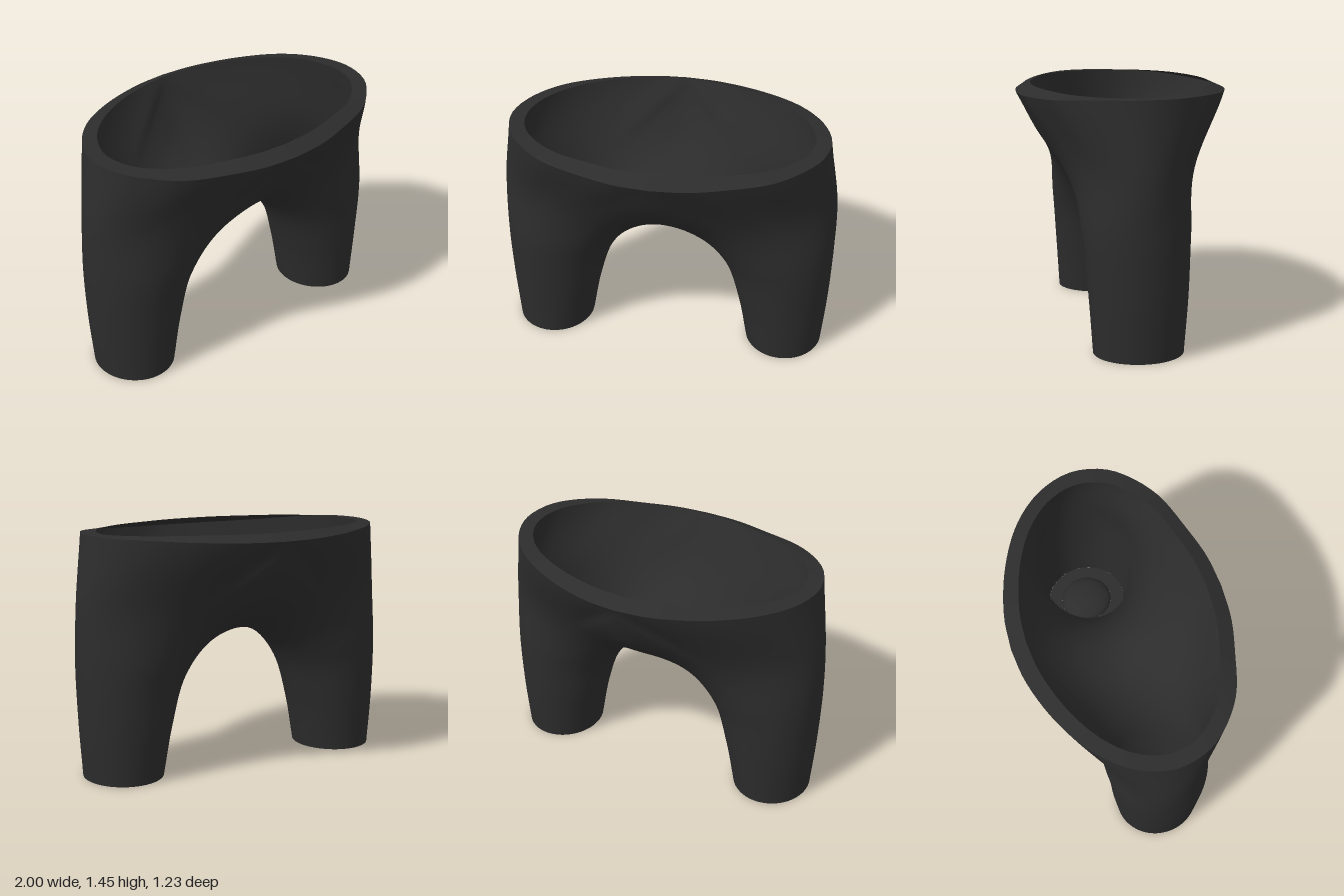
import * as THREE from 'three';
import { mergeGeometries, mergeVertices } from 'three/addons/utils/BufferGeometryUtils.js';

const V = (x, y, z) => new THREE.Vector3(x, y, z);
const ARC = 1.65; // half of the leg loop that flows up to the rim
const RIM_N = 44, SEAM_N = 40, STEPS = 9;

// Half of the upper rim, back centre to front centre
const rimCurve = new THREE.CatmullRomCurve3([
  V(0, 1.41, -0.618), V(0.2, 1.412, -0.598), V(0.48, 1.42, -0.507), V(0.72, 1.43, -0.36),
  V(0.87, 1.432, -0.18), V(0.93, 1.433, 0.02), V(0.89, 1.432, 0.21), V(0.8, 1.425, 0.335),
  V(0.64, 1.41, 0.46), V(0.4, 1.397, 0.545), V(0.2, 1.392, 0.597), V(0, 1.39, 0.613),
]);
// Section through the crotch, front rim to back rim
const seamCurve = new THREE.CatmullRomCurve3([
  V(0, 1.39, 0.613), V(0, 1.1, 0.45), V(0, 0.91, 0.25), V(0, 0.825, 0.01),
  V(0, 0.89, -0.24), V(0, 1.06, -0.44), V(0, 1.22, -0.54), V(0, 1.41, -0.618),
]);

const legLoop = (a, k = 1) => V(0.733 + 0.235 * k * Math.cos(a), 0.004, 0.018 + 0.255 * k * Math.sin(a));

// Points of one column on the foot, shin, thigh and hip loops
function legPoints(a) {
  const c = Math.cos(a), s = Math.sin(a);
  return [
    legLoop(a),
    V(0.715 + 0.275 * c, 0.32 + 0.02 * c, 0.015 + 0.278 * s),
    V(0.6735 + 0.325 * c, 0.65 + 0.07 * c, 0.018 + 0.3 * s),
    V(0.48 + 0.395 * c + 0.115 * c * c, 0.98 + 0.145 * c - 0.075 * c * c, 0.015 + 0.355 * s),
  ];
}

// Smooth column from the foot to its end on the rim or the centre seam
function column(a, end, endDir) {
  const pts = [...legPoints(a), end], last = pts.length - 1;
  const dirs = pts.map((p, i) => i === last ? endDir
    : i === 0 ? pts[1].clone().sub(p)
    : pts[i + 1].clone().sub(pts[i - 1]).multiplyScalar(0.5));
  const out = [pts[0]];
  for (let i = 0; i < last; i++) {
    for (let j = 1; j <= STEPS; j++) {
      const t = j / STEPS, t2 = t * t, t3 = t2 * t;
      out.push(V(0, 0, 0)
        .addScaledVector(pts[i], 2 * t3 - 3 * t2 + 1).addScaledVector(dirs[i], t3 - 2 * t2 + t)
        .addScaledVector(pts[i + 1], 3 * t2 - 2 * t3).addScaledVector(dirs[i + 1], t3 - t2));
    }
  }
  return out;
}

// Grid of columns to a geometry, front faces on the (row x column) side
function gridGeometry(columns, flip = false) {
  const rows = columns[0].length, pos = [], index = [];
  columns.forEach(c => c.forEach(p => pos.push(p.x, p.y, p.z)));
  for (let i = 0; i < columns.length - 1; i++) {
    for (let j = 0; j < rows - 1; j++) {
      const a = i * rows + j, b = a + 1, c = a + rows, d = c + 1;
      if (flip) index.push(a, c, b, b, c, d);
      else index.push(a, b, c, b, d, c);
    }
  }
  const g = new THREE.BufferGeometry();
  g.setAttribute('position', new THREE.Float32BufferAttribute(pos, 3));
  g.setIndex(index);
  return g;
}

function bodyGeometry() {
  const columns = [];
  for (let i = 0; i <= RIM_N; i++) {
    const q = i / RIM_N, p = rimCurve.getPointAt(q);
    const centre = 1 - Math.min(1, p.x / 0.93);
    columns.push(column(-ARC + 2 * ARC * q, p, V(-0.05 - 0.37 * centre, 0.39, 0.36 * p.z)));
  }
  for (let i = 1; i < SEAM_N; i++) {
    const q = i / SEAM_N, p = seamCurve.getPointAt(q);
    const w = (2 * q - 1) ** 2;
    const dir = seamCurve.getTangentAt(q).multiplyScalar(0.45 * w * Math.sign(q - 0.5));
    columns.push(column(ARC + (2 * Math.PI - 2 * ARC) * q, p, dir.add(V(-0.22 - 0.2 * w, 0, 0))));
  }
  columns.push(columns[0]);
  const mirrored = columns.map(c => c.map(p => V(-p.x, p.y, p.z)));
  const g = mergeVertices(mergeGeometries([gridGeometry(columns), gridGeometry(mirrored, true)]), 1e-4);
  g.computeVertexNormals();
  return g;
}

// Sloping band around the waist opening
function rimGeometry() {
  const columns = [];
  for (let i = 0; i <= 2 * RIM_N; i++) {
    const side = i <= RIM_N ? 1 : -1;
    const p = rimCurve.getPointAt(side > 0 ? i / RIM_N : 2 - i / RIM_N);
    p.x *= side;
    const innerY = 1.435 + 0.015 * Math.min(1, Math.max(0, -p.z / 0.5));
    columns.push([p, V(p.x * 0.905, innerY, p.z * 0.855)]);
  }
  const g = gridGeometry(columns);
  g.computeVertexNormals();
  return g;
}

// Flat ring under each foot
function footRingGeometry() {
  const columns = [];
  for (let i = 0; i <= 48; i++) {
    const a = i / 48 * Math.PI * 2;
    columns.push([legLoop(a), legLoop(a, 0.655)]);
  }
  const g = gridGeometry(columns, true);
  g.computeVertexNormals();
  return g;
}

export function createModel() {
  const group = new THREE.Group();
  const charcoal = new THREE.MeshStandardMaterial({ color: 0x2c2c2c, side: THREE.DoubleSide });
  charcoal.name = 'charcoal';
  const add = (name, geometry) => {
    const m = new THREE.Mesh(geometry, charcoal);
    m.name = name;
    group.add(m);
    return m;
  };

  add('body', bodyGeometry());
  add('waistRim', rimGeometry());

  // Foot rings with shallow domed recesses
  for (const s of [1, -1]) {
    const side = s > 0 ? 'left' : 'right';
    const ring = add(side + 'FootRing', footRingGeometry());
    if (s < 0) {
      ring.rotation.y = Math.PI;
      ring.position.z = 0.036;
    }
    const dome = add(side + 'FootRecess',
      new THREE.SphereGeometry(1, 40, 10, 0, Math.PI * 2, 0, Math.PI / 2));
    dome.scale.set(0.154, 0.07, 0.167);
    dome.position.set(0.733 * s, 0.004, 0.018);
  }
  return group;
}
